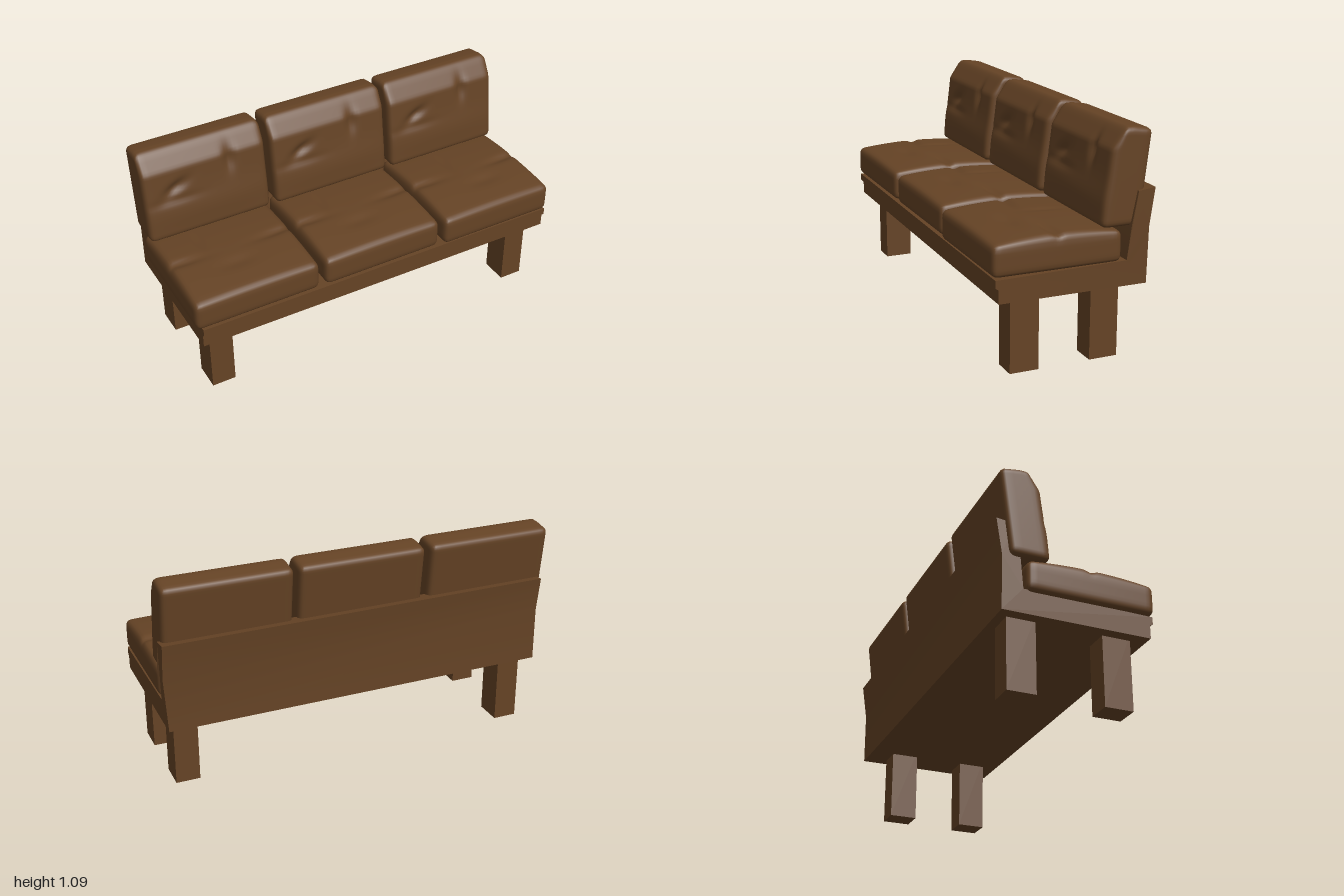
import * as THREE from 'three';
import { mergeVertices, toCreasedNormals } from 'three/addons/utils/BufferGeometryUtils.js';

const brown = new THREE.MeshStandardMaterial({ color: 0x654325 });
brown.name = 'brown leather';

function addMesh(parent, geometry, name, x = 0, y = 0, z = 0) {
  const mesh = new THREE.Mesh(geometry, brown);
  mesh.name = name;
  mesh.position.set(x, y, z);
  parent.add(mesh);
  return mesh;
}

// Move every vertex of a geometry by a rule
function reshape(geometry, rule) {
  const pos = geometry.attributes.position;
  const p = new THREE.Vector3();
  for (let i = 0; i < pos.count; i++) {
    p.fromBufferAttribute(pos, i);
    rule(p);
    pos.setXYZ(i, p.x, p.y, p.z);
  }
  return geometry;
}

// Soft block with rounded edges; the rule then sculpts its surface
function cushionGeometry(w, h, d, radius, segments, rule) {
  let geo = new THREE.BoxGeometry(w, h, d, ...segments);
  geo.deleteAttribute('uv');
  geo.deleteAttribute('normal');
  geo = mergeVertices(geo);
  const limit = new THREE.Vector3(w / 2 - radius, h / 2 - radius, d / 2 - radius);
  const core = new THREE.Vector3();
  reshape(geo, p => {
    core.copy(p).clamp(limit.clone().negate(), limit);
    const out = p.clone().sub(core);
    if (out.length() > 0) p.copy(core).add(out.setLength(Math.min(out.length(), radius)));
    rule(p);
  });
  geo.computeVertexNormals();
  return geo;
}

const bump = (a, b, ra, rb) => Math.exp(-((a / ra) ** 2) - ((b / rb) ** 2));

// Seat: puffed top with a crease running in from each side and a dimple
function seatCushion(shift) {
  return cushionGeometry(0.64, 0.145, 0.625, 0.028, [40, 8, 40], p => {
    if (p.y < 0.04) return;
    const puff = (1 - (p.x / 0.32) ** 2) * 0.006 + (1 - (p.z / 0.31) ** 2) * 0.022;
    const weight = (p.y - 0.04) / 0.0325;
    const crease = bump(p.x + 0.27, p.z - 0.005 - 0.1 * (p.x + 0.27), 0.12, 0.022)
      + bump(p.x - 0.25, p.z - 0.005 + 0.1 * (p.x - 0.25), 0.12, 0.022);
    const fold = bump(p.x + 0.1 - shift, p.z + 0.1, 0.02, 0.09);
    const dimple = bump(p.x - shift, p.z - 0.125, 0.09, 0.035);
    p.y += weight * (puff - 0.014 * crease - 0.006 * fold - 0.008 * dimple);
  });
}

// Back: leans backward, with two pinched tufts, a low fold and a sloped top edge
function backCushion() {
  return cushionGeometry(0.64, 0.45, 0.19, 0.028, [40, 36, 10], p => {
    if (p.z > 0.04) {
      const weight = (p.z - 0.04) / 0.055;
      const tufts = bump(p.x + 0.16, p.y - 0.03 - 0.4 * (p.x + 0.16), 0.06, 0.03)
        + bump(p.x - 0.13, p.y - 0.1, 0.025, 0.06);
      const fold = bump(p.x + 0.17, p.y + 0.03, 0.12, 0.02);
      const belly = bump(p.x, p.y + 0.1, 0.4, 0.08);
      p.z += weight * (0.008 * belly - 0.022 * tufts - 0.008 * fold);
    }
    if (p.z > 0) p.z -= 0.055 * Math.max(0, (p.y - 0.13) / 0.095) * (p.z / 0.095);
    if (p.z < 0) p.y -= 0.015 * Math.max(0, p.y / 0.225) * (-p.z / 0.095);
    p.z -= 0.12 * p.y;
  });
}

export function createModel() {
  const bench = new THREE.Group();
  bench.name = 'bench';

  // Frame: one L-shaped section (z, y) along the full width
  const section = new THREE.Shape([
    [0.36, 0.36], [0.36, 0.425], [0.375, 0.435], [0.375, 0.47], [-0.262, 0.48],
    [-0.275, 0.65], [-0.305, 0.8], [-0.388, 0.81], [-0.362, 0.63], [-0.365, 0.36],
  ].map(([z, y]) => new THREE.Vector2(z, y)));
  const frame = new THREE.ExtrudeGeometry(section, { depth: 1.945, bevelEnabled: false, steps: 1 });
  frame.rotateY(-Math.PI / 2).translate(0.978, 0, 0);
  reshape(frame, p => {
    if (p.y > 0.6 && p.x > 0) p.x += 0.015;
    p.y -= 0.005 * p.x;
  });
  addMesh(bench, toCreasedNormals(frame, 0.5), 'frame');

  // Three seat and back cushions
  [[-0.675, -0.02], [0, -0.03], [0.665, 0.04]].forEach(([x, shift], i) => {
    const forward = i === 2 ? 0.012 : 0;
    const seat = addMesh(bench, seatCushion(shift), 'seatCushion', x, 0.546 - 0.004 * x, 0.062 + forward);
    const back = addMesh(bench, backCushion(), 'backCushion', x, 0.86 - 0.004 * x, -0.258);
    if (i === 2) {
      seat.scale.x = 0.985;
      back.scale.x = 0.985;
    }
  });

  // Four legs: x, z and bottom height
  [
    ['frontLegLeft', 0.87, 0.215, 0], ['frontLegRight', -0.85, 0.215, 0.02],
    ['backLegLeft', 0.87, -0.18, 0.003], ['backLegRight', -0.85, -0.25, 0.02],
  ].forEach(([name, x, z, bottom]) => {
    const height = 0.39 - bottom;
    addMesh(bench, new THREE.BoxGeometry(0.12, height, 0.14), name, x, bottom + height / 2, z);
  });

  return bench;
}
